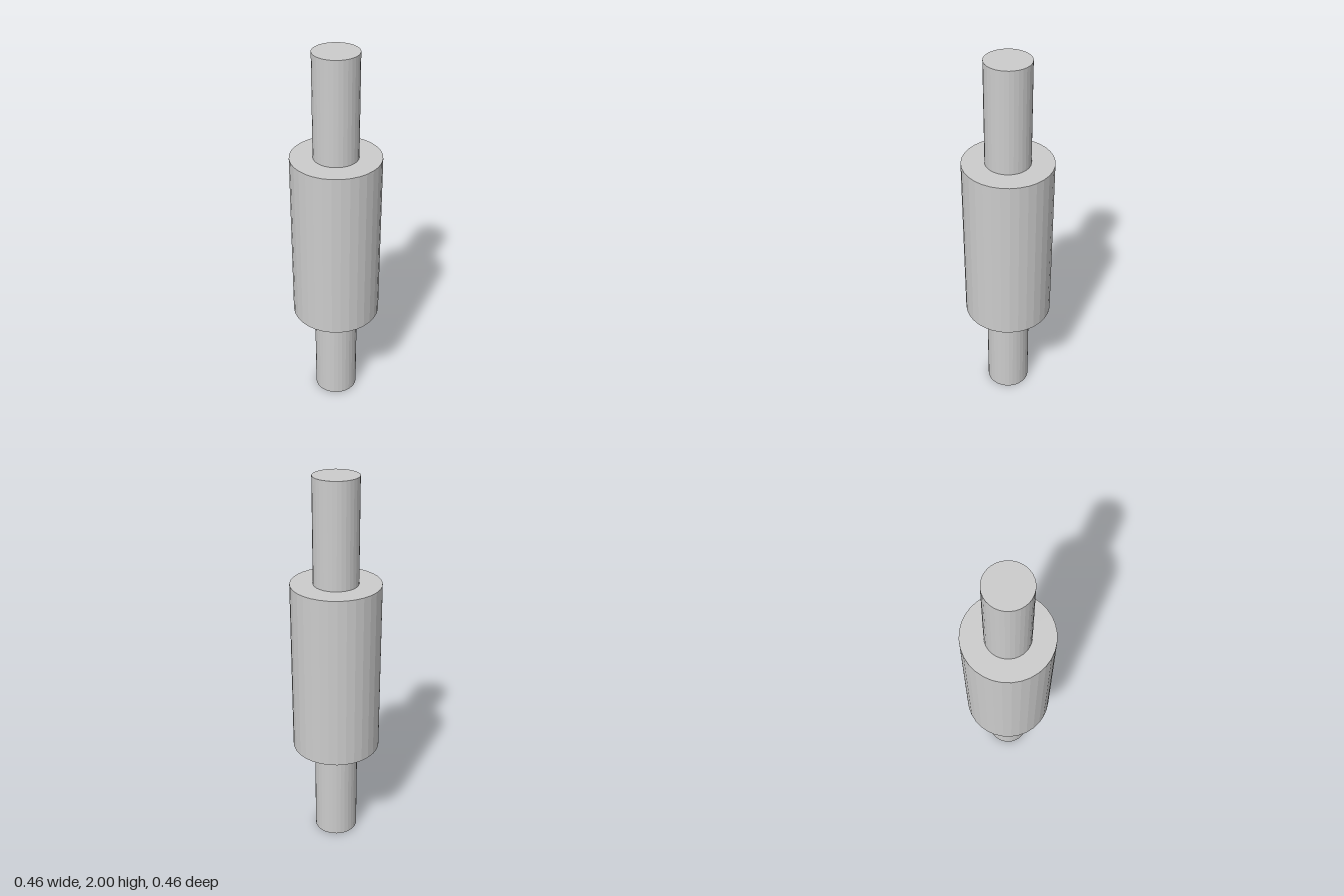
import * as THREE from 'three';

const SIDES = 32;

export function createModel() {
  const model = new THREE.Group();
  model.name = 'roller';
  const material = new THREE.MeshStandardMaterial({ color: 0xcccccc, flatShading: true });

  // Upright capped cylinder spanning two heights
  function addCylinder(name, radius, bottom, top) {
    const mesh = new THREE.Mesh(
      new THREE.CylinderGeometry(radius, radius, top - bottom, SIDES), material);
    mesh.name = name;
    mesh.position.y = (bottom + top) / 2;
    model.add(mesh);
  }

  // Thin shaft running the full height, through the thick drum
  addCylinder('shaft', 0.115, 0, 2);
  addCylinder('drum', 0.231, 0.54, 1.463);

  return model;
}
